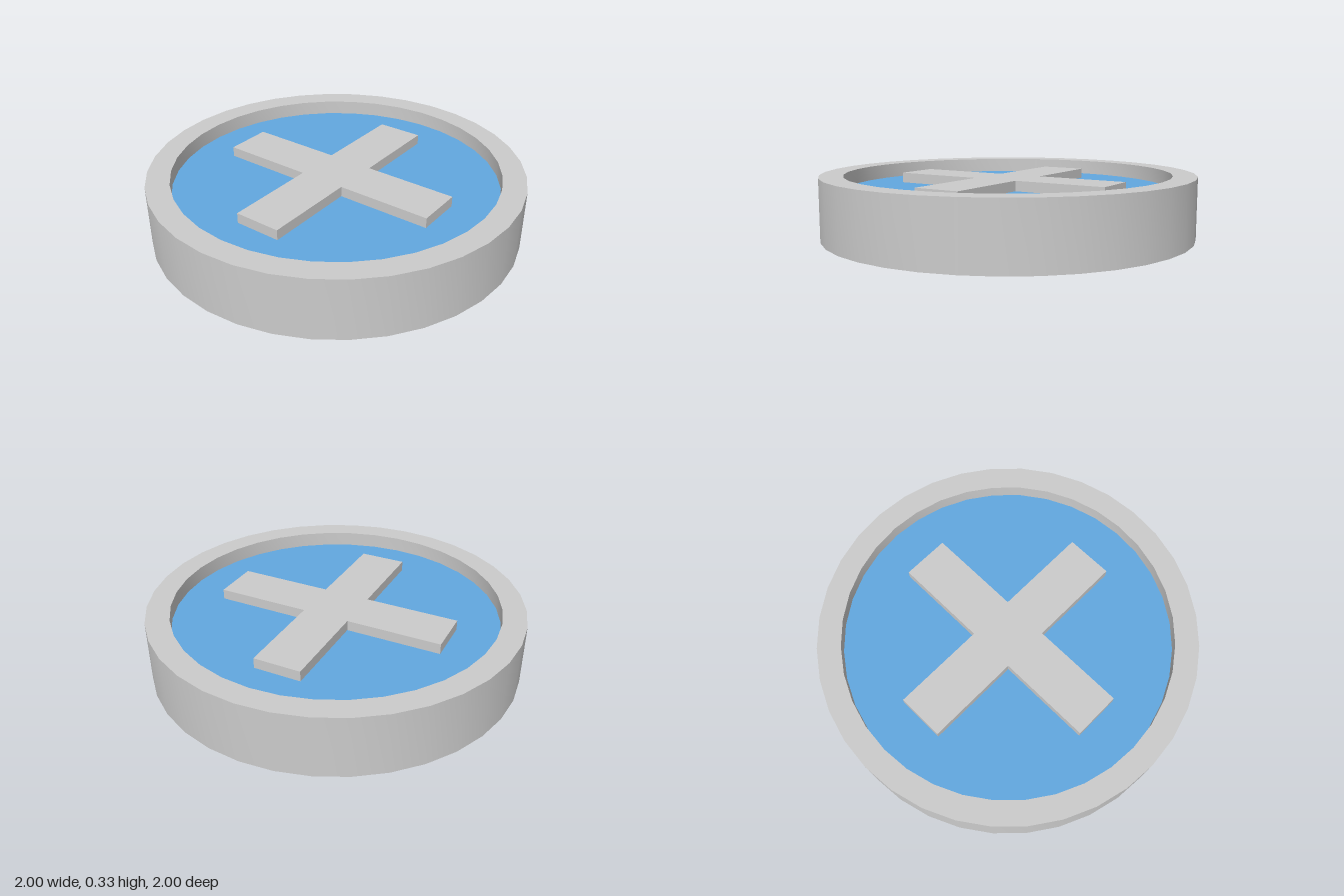
import * as THREE from 'three';
import { toCreasedNormals } from 'three/addons/utils/BufferGeometryUtils.js';

const SEGMENTS = 36;
const HEIGHT = 0.33, FLOOR = 0.25, INNER = 0.875;
const ARM = 0.635, HALF = 0.127, CROSS_HEIGHT = 0.055;

export function createModel() {
  const group = new THREE.Group();
  group.name = 'roundButton';
  const grey = new THREE.MeshStandardMaterial({ color: 0xcccccc });
  const blue = new THREE.MeshStandardMaterial({ color: 0x62a8e0 });

  const add = (name, geometry, material, y = 0) => {
    const mesh = new THREE.Mesh(geometry, material);
    mesh.name = name;
    mesh.position.y = y;
    group.add(mesh);
  };

  // Dish: underside, outer wall, flat rim and inner wall down to the floor
  const profile = [[0, 0], [1, 0], [1, HEIGHT], [INNER, HEIGHT], [INNER, FLOOR]]
    .map(([r, y]) => new THREE.Vector2(r, y));
  add('dish', toCreasedNormals(new THREE.LatheGeometry(profile, SEGMENTS), 0.5), grey);

  // Coloured floor of the recess
  add('floor', new THREE.CircleGeometry(INNER, SEGMENTS).rotateX(-Math.PI / 2), blue, FLOOR);

  // Raised cross: one notch outline repeated around four quarters
  const outline = [];
  for (let i = 0; i < 4; i++) {
    for (const [x, y] of [[ARM, -HALF], [ARM, HALF], [HALF, HALF]]) {
      outline.push(new THREE.Vector2(x, y).rotateAround(new THREE.Vector2(), i * Math.PI / 2));
    }
  }
  const cross = new THREE.ExtrudeGeometry(new THREE.Shape(outline), { depth: CROSS_HEIGHT, bevelEnabled: false });
  add('cross', cross.rotateX(-Math.PI / 2), grey, FLOOR);

  return group;
}
